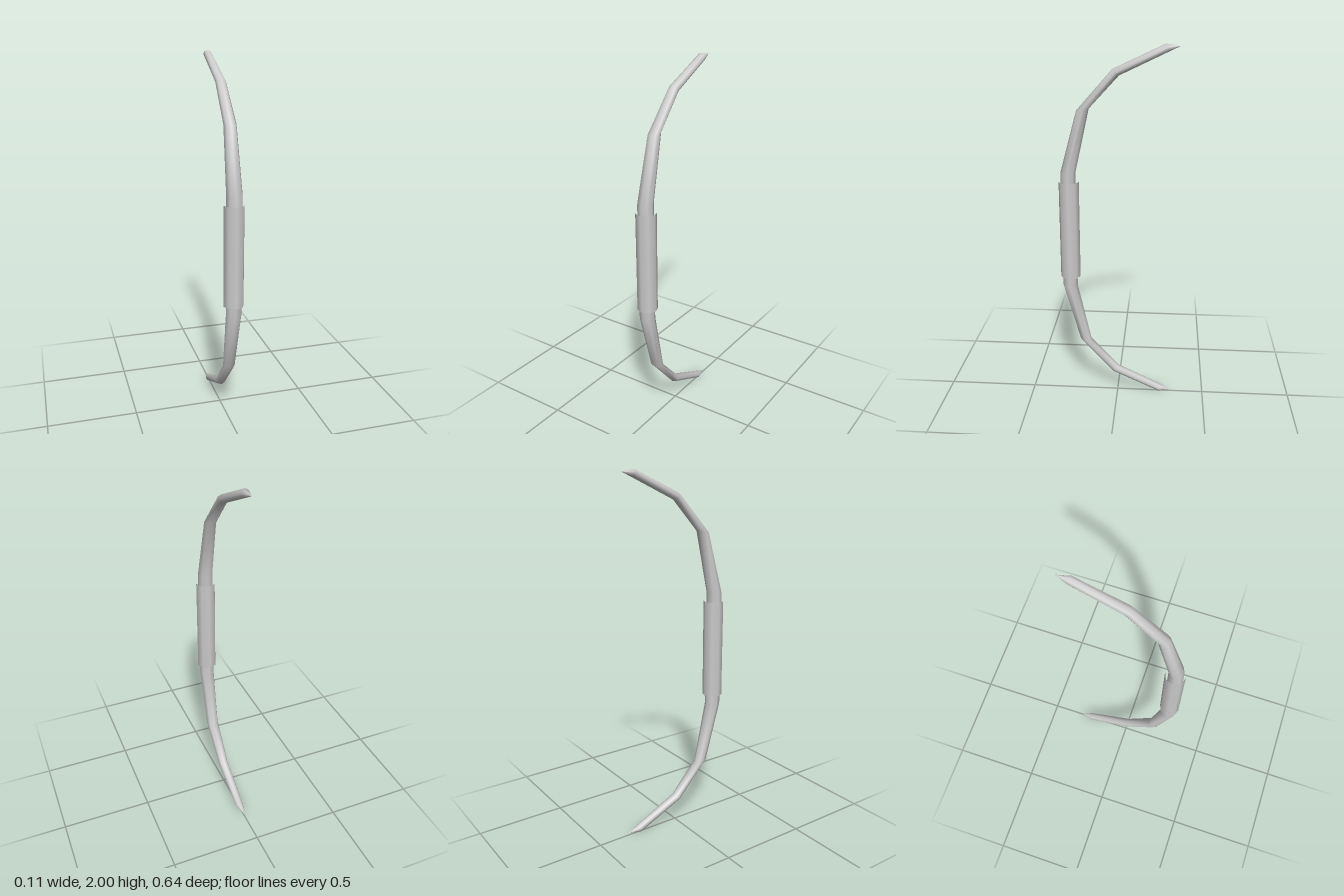
import * as THREE from 'three';

const SIDES = 8;

// Upper half of the bow: [z, y, outward z, outward y, half width, half depth]
const UPPER = [
  [0.268, 1.328, 1, -0.04, 0.043, 0.041],
  [0.184, 1.667, 0.98, -0.17, 0.034, 0.034],
  [0.012, 1.858, 0.74, 0.67, 0.028, 0.024],
  [-0.248, 1.981, 0.42, 0.9, 0.0225, 0.0215],
  [-0.317, 1.99, 0.42, 0.9, 0, 0], // pointed tip
];

// Skin a series of octagonal rings running from bottom to top
function loft(rings) {
  const pos = [], idx = [];
  for (const [z, y, oz, oy, rx, rd] of rings) {
    for (let j = 0; j < SIDES; j++) {
      const a = (j / SIDES) * Math.PI * 2;
      const d = Math.sin(a) * rd;
      pos.push(Math.cos(a) * rx, y + oy * d, z + oz * d);
    }
  }
  for (let i = 0; i < rings.length - 1; i++) {
    for (let j = 0; j < SIDES; j++) {
      const k = (j + 1) % SIDES;
      const a = i * SIDES + j, b = i * SIDES + k, c = a + SIDES, d = b + SIDES;
      idx.push(a, c, b, b, c, d);
    }
  }
  const g = new THREE.BufferGeometry();
  g.setAttribute('position', new THREE.Float32BufferAttribute(pos, 3));
  g.setIndex(idx);
  g.computeVertexNormals();
  return g;
}

export function createModel() {
  const group = new THREE.Group();
  group.name = 'bow';
  const material = new THREE.MeshStandardMaterial({ color: 0xcccccc });

  // Curved stave, the lower limb mirroring the upper about y = 1
  const lower = UPPER.map(([z, y, oz, oy, rx, rd]) => [z, 2 - y, oz, -oy, rx, rd]).reverse();
  const stave = new THREE.Mesh(loft([...lower, ...UPPER]), material);
  stave.name = 'stave';
  group.add(stave);

  // Open sleeve wrapped around the middle, seen only from outside
  const grip = new THREE.Mesh(new THREE.CylinderGeometry(0.055, 0.055, 0.55, SIDES, 1, true), material);
  grip.name = 'grip';
  grip.position.set(0, 1.003, 0.265);
  group.add(grip);

  return group;
}
